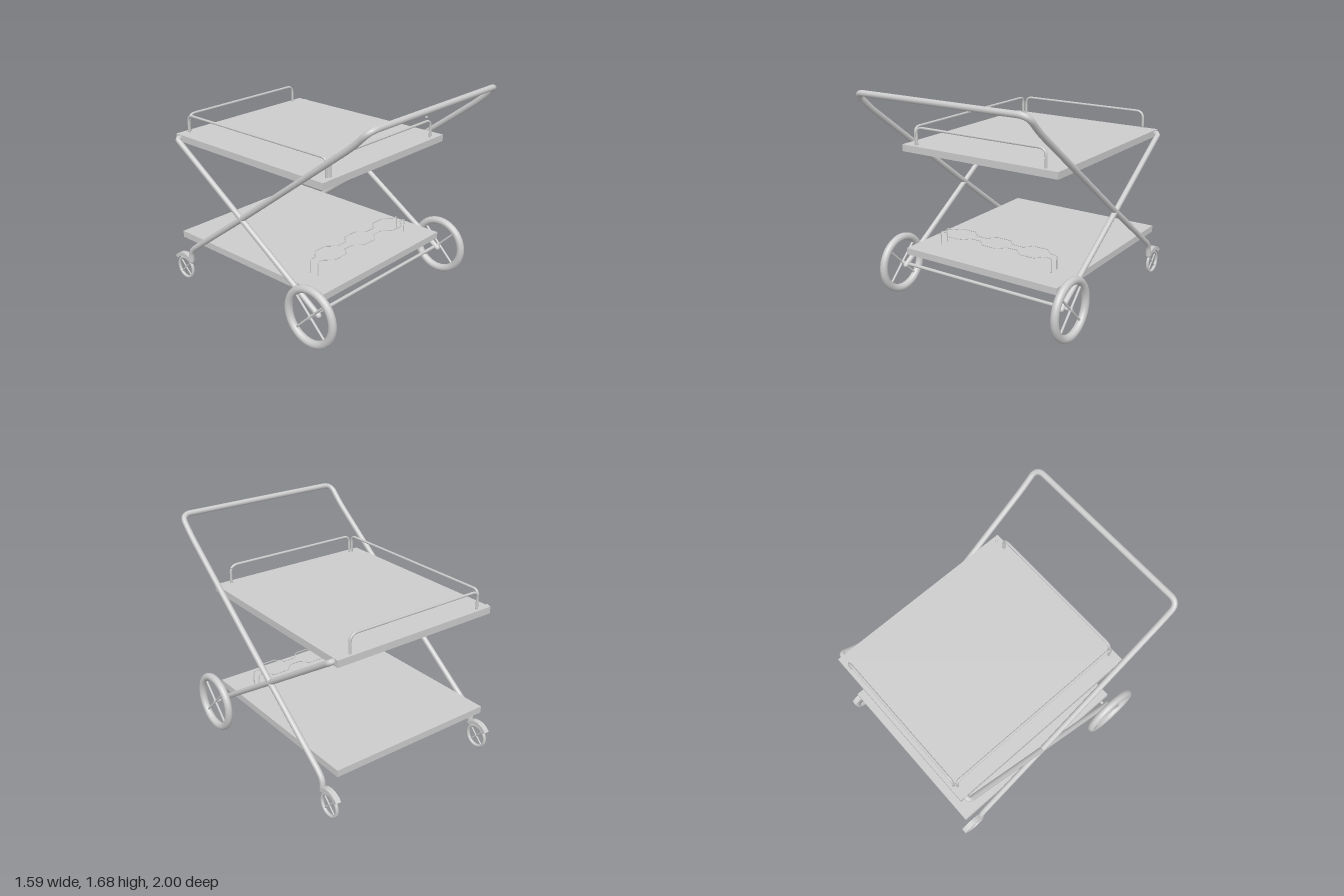
import * as THREE from 'three';

const material = new THREE.MeshStandardMaterial({ color: 0xcccccc });
const V = (x, y, z) => new THREE.Vector3(x, y, z);

function add(parent, name, geometry, x = 0, y = 0, z = 0) {
  const mesh = new THREE.Mesh(geometry, material);
  mesh.name = name;
  mesh.position.set(x, y, z);
  parent.add(mesh);
  return mesh;
}

// Polyline with each inner corner rounded off by the given distance
function roundedPath(points, corner) {
  const path = new THREE.CurvePath();
  let from = points[0];
  for (let i = 1; i < points.length - 1; i++) {
    const p = points[i];
    const cut = (q) => p.clone().add(q.clone().sub(p).setLength(Math.min(corner, q.distanceTo(p) * 0.45)));
    const a = cut(points[i - 1]), b = cut(points[i + 1]);
    path.add(new THREE.LineCurve3(from, a));
    path.add(new THREE.QuadraticBezierCurve3(a, p, b));
    from = b;
  }
  path.add(new THREE.LineCurve3(from, points[points.length - 1]));
  return path;
}

// Bent tube with rounded ends
function pipe(parent, name, points, radius, corner, segments, sides = 12) {
  const group = new THREE.Group();
  group.name = name;
  parent.add(group);
  add(group, name + 'Tube', new THREE.TubeGeometry(roundedPath(points, corner), segments, radius, sides));
  for (const p of [points[0], points[points.length - 1]]) {
    add(group, name + 'End', new THREE.SphereGeometry(radius, sides, 8), p.x, p.y, p.z);
  }
  return group;
}

// Ring tyre with two crossed spokes, turning about x
function wheel(parent, name, x, y, z, radius, tube, spoke) {
  const group = new THREE.Group();
  group.name = name;
  group.position.set(x, y, z);
  parent.add(group);
  add(group, 'tyre', new THREE.TorusGeometry(radius - tube, tube, 14, 40).rotateY(Math.PI / 2));
  for (const angle of [Math.PI / 4, -Math.PI / 4]) {
    add(group, 'spoke', new THREE.CylinderGeometry(spoke, spoke, (radius - tube) * 2, 8).rotateX(angle));
  }
  return group;
}

// Curved cover over a caster wheel
function fenderGeometry() {
  const a = 0.26 * Math.PI, b = 0.79 * Math.PI;
  const shape = new THREE.Shape();
  shape.absarc(0, 0, 0.13, a, b, false);
  shape.absarc(0, 0, 0.1, b, a, true);
  return new THREE.ExtrudeGeometry(shape, { depth: 0.042, bevelEnabled: false, curveSegments: 16 })
    .translate(0, 0, -0.021)
    .rotateY(-Math.PI / 2);
}

export function createModel() {
  const cart = new THREE.Group();
  cart.name = 'servingCart';
  const side = 0.706;

  // Trays
  add(cart, 'upperTray', new THREE.BoxGeometry(1.35, 0.052, 1.52), 0, 1.189, -0.187);
  add(cart, 'lowerTray', new THREE.BoxGeometry(1.35, 0.052, 1.52), 0, 0.369, -0.187);

  // Push handle running down both sides to the casters
  const half = [
    V(side, 1.66, 0.98), V(side, 1.53, 0.845), V(side, 0.735, -0.2),
    V(side, 0.275, -0.82), V(side, 0.18, -0.825),
  ];
  const mirrored = half.map((p) => V(-p.x, p.y, p.z)).reverse();
  pipe(cart, 'handleFrame', [...mirrored, ...half], 0.022, 0.075, 400);

  for (const s of [-1, 1]) {
    // Crossing leg, turned in to the tray at its top
    pipe(cart, 'crossLeg', [V(s * 0.665, 1.19, -0.9), V(s * side, 1.19, -0.9), V(s * side, 0.24, 0.56)],
      0.021, 0.025, 120);
    wheel(cart, 'largeWheel', s * 0.765, 0.245, 0.535, 0.237, 0.03, 0.009);
    wheel(cart, 'casterWheel', s * side, 0.1, -0.9, 0.097, 0.0125, 0.006);
    add(cart, 'casterFender', fenderGeometry(), s * side, 0.1, -0.9);
  }
  add(cart, 'axle', new THREE.CylinderGeometry(0.013, 0.013, 1.56, 12).rotateZ(Math.PI / 2), 0, 0.245, 0.535);

  // Rails on the upper tray: front, back and one side
  const low = 1.2, high = 1.35;
  for (const z of [0.535, -0.918]) {
    pipe(cart, 'endRail', [V(-0.565, low, z), V(-0.565, high, z), V(0.558, high, z), V(0.558, low, z)],
      0.01, 0.06, 140, 8);
  }
  pipe(cart, 'sideRail',
    [V(-0.585, low, 0.525), V(-0.585, high, 0.525), V(-0.585, high, -0.9), V(-0.585, low, -0.9)],
    0.01, 0.05, 160, 8);
  add(cart, 'railStud', new THREE.SphereGeometry(0.01, 10, 8), 0.58, 1.355, 0.48);

  // Bottle rack: two wires bulging apart around three bottle places
  for (const [base, s] of [[0.365, 1], [0.292, -1]]) {
    const points = [V(-0.503, 0.38, base), V(-0.503, 0.505, base)];
    for (const x of [-0.33, 0, 0.33]) {
      for (const [dx, out] of [[-0.12, 0], [-0.06, 0.062], [0.06, 0.062], [0.12, 0]]) {
        points.push(V(x + dx, 0.505, base + s * out));
      }
    }
    points.push(V(0.503, 0.505, base), V(0.503, 0.38, base));
    pipe(cart, 'bottleRackWire', points, 0.004, 0.012, 240, 6);
  }
  return cart;
}
